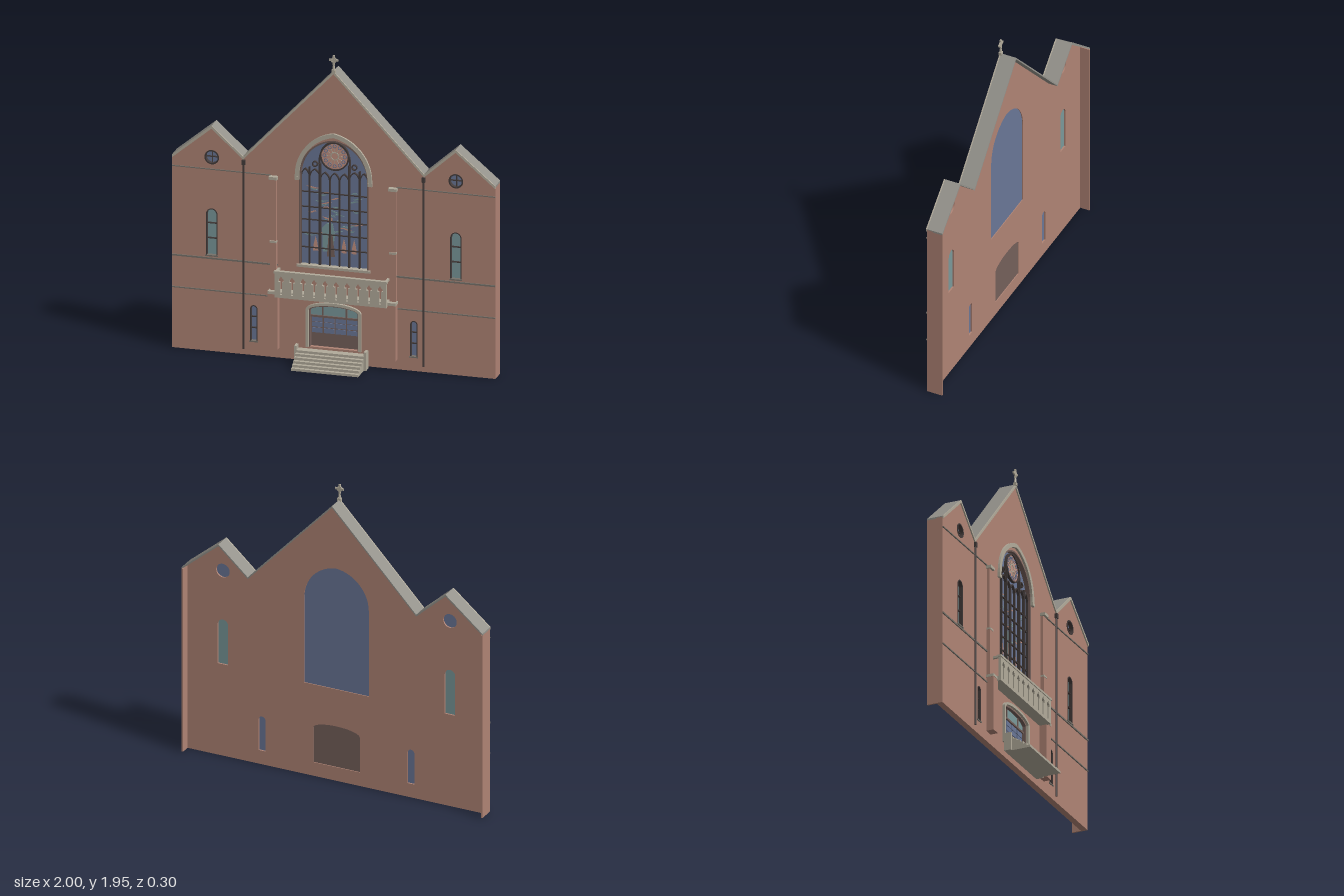
import * as THREE from 'three';

const mat = (name, color, side = THREE.FrontSide) => {
  const m = new THREE.MeshStandardMaterial({ color, side });
  m.name = name;
  return m;
};
const V = (x, y) => new THREE.Vector2(x, y);

// Arch outline from bottom left, over the top, to bottom right
function archPts(cx, w, y0, ys, h, n = 14) {
  const right = [V(cx + w, y0)];
  const R = (w * w + h * h) / (2 * w);
  const end = h >= w ? Math.atan2(h, R - w) : Math.PI / 2;
  for (let i = 0; i <= n; i++) {
    const a = end * i / n;
    right.push(h >= w
      ? V(cx + w - R + R * Math.cos(a), ys + R * Math.sin(a))
      : V(cx + w * Math.cos(a), ys + h * Math.sin(a)));
  }
  const left = right.slice(0, -1).map(p => V(2 * cx - p.x, p.y));
  return [...left, ...right.reverse()];
}
const archRing = (cx, w, y0, ys, h, t) => new THREE.Shape(
  [...archPts(cx, w, y0, ys, h), ...archPts(cx, w - t, y0, ys, h - t).reverse()]);
const circle = (cx, cy, r, hole = 0) => {
  const s = new THREE.Shape().absarc(cx, cy, r, 0, Math.PI * 2);
  if (hole) s.holes.push(new THREE.Path().absarc(cx, cy, hole, 0, Math.PI * 2, true));
  return s;
};

export function createModel() {
  const M = {
    brick: mat('brick', 0xb08475),
    stone: mat('stone', 0xb2ab9b),
    roof: mat('roof slate', 0x94928b),
    frame: mat('dark metal', 0x443c3b),
    blue: mat('blue glass', 0x6a7797),
    teal: mat('teal glass', 0x7a999b),
    door: mat('door wood', 0x75605b),
    rose: mat('rose glass', 0xc29182),
    ledge: mat('ledge stone', 0x77726a),
  };
  const root = new THREE.Group();
  root.name = 'churchFacade';
  const add = (geo, m, name) => {
    const mesh = new THREE.Mesh(geo, m);
    mesh.name = name;
    root.add(mesh);
    return mesh;
  };
  const ext = (shape, z0, z1, m, name) => add(new THREE.ExtrudeGeometry(shape,
    { depth: z1 - z0, bevelEnabled: false, curveSegments: 20 }).translate(0, 0, z0), m, name);
  const box = (x0, x1, y0, y1, z0, z1, m, name) => add(new THREE.BoxGeometry(x1 - x0, y1 - y0, z1 - z0)
    .translate((x0 + x1) / 2, (y0 + y1) / 2, (z0 + z1) / 2), m, name);

  const F = -0.05, B = -0.09, BACK = -0.15;

  // Wall panel with openings
  const half = [[0, 1.845], [0.56, 1.25], [0.755, 1.425], [1, 1.22]];
  const line = [...half.slice(1).reverse().map(([x, y]) => V(-x, y)), ...half.map(([x, y]) => V(x, y))];
  const wall = new THREE.Shape([V(-1, 0), V(1, 0), ...[...line].reverse().map(p => V(p.x, p.y - 0.006))]);
  const cut = pts => wall.holes.push(new THREE.Path(pts));
  const W = [0, 0.215, 0.605, 1.17, 0.235];
  const D = [0, 0.155, 0.09, 0.32, 0.04];
  cut(archPts(...W));
  cut(archPts(...D));
  const sideWindows = [];
  for (const s of [-1, 1]) {
    sideWindows.push(
      { name: 'tallWindow', a: [s * 0.755, 0.035, 0.605, 0.865, 0.036], glass: M.teal, bars: [0.71, 0.805] },
      { name: 'lowWindow', a: [s * 0.495, 0.023, 0.09, 0.292, 0.024], glass: M.blue, bars: [0.17, 0.24] });
    wall.holes.push(new THREE.Path().absarc(s * 0.755, 1.225, 0.045, 0, Math.PI * 2));
  }
  sideWindows.forEach(w => cut(archPts(...w.a)));
  ext(wall, B, F, M.brick, 'wall');

  // Roof slabs and front coping follow the gable line
  const strip = t => new THREE.Shape([...line, ...[...line].reverse().map(p => V(p.x, p.y - t))]);
  ext(strip(0.012), BACK, F, M.roof, 'roof');
  ext(strip(0.018), F, -0.042, M.stone, 'gableCoping');
  for (const s of [-1, 1]) {
    const x0 = s > 0 ? 0.99 : -1;
    box(x0, x0 + 0.01, 0, 1.21, BACK, B, M.brick, 'endReturn');
  }

  // Small arched and round windows
  for (const { name, a, glass, bars } of sideWindows) {
    ext(new THREE.Shape(archPts(...a)), -0.08, -0.072, glass, name + 'Glass');
    ext(archRing(...a, 0.006), -0.072, -0.048, M.frame, name + 'Frame');
    for (const y of bars) box(a[0] - a[1], a[0] + a[1], y - 0.003, y + 0.003, -0.072, -0.06, M.frame, name + 'Bar');
    box(a[0] - a[1] - 0.004, a[0] + a[1] + 0.004, a[2] - 0.006, a[2] + 0.002, -0.07, -0.044, M.ledge, name + 'Sill');
  }
  for (const s of [-1, 1]) {
    const x = s * 0.755;
    ext(circle(x, 1.225, 0.045), -0.08, -0.072, M.blue, 'roundGlass');
    ext(circle(x, 1.225, 0.045, 0.037), -0.072, -0.047, M.frame, 'roundFrame');
    box(x - 0.04, x + 0.04, 1.222, 1.228, -0.072, -0.062, M.frame, 'roundBar');
    box(x - 0.002, x + 0.002, 1.185, 1.265, -0.072, -0.062, M.frame, 'roundBar');
  }

  // Great window: glass, hood, sill
  ext(new THREE.Shape(archPts(...W)), -0.085, -0.077, M.blue, 'greatGlass');
  ext(archRing(...W, 0.01), -0.077, -0.049, M.door, 'greatFrame');
  ext(archRing(0, 0.238, 1.15, 1.17, 0.282, 0.026), F, -0.036, M.stone, 'hoodMould');
  for (const s of [-1, 1]) box(s * 0.226 - 0.014, s * 0.226 + 0.014, 1.14, 1.16, F, -0.034, M.stone, 'hoodStop');
  box(-0.228, 0.228, 0.592, 0.607, -0.075, -0.035, M.stone, 'greatSill');

  // Mullions, lancet heads and crossbars
  const edges = [-0.208, -0.155, -0.09, -0.03, 0.03, 0.09, 0.155, 0.208];
  for (let i = 0; i < 7; i++) {
    const c = (edges[i] + edges[i + 1]) / 2, w = (edges[i + 1] - edges[i]) / 2;
    const inner = i > 1 && i < 5;
    const spring = inner ? 1.14 : 1.155;
    ext(archRing(c, w + 0.003, 0.605, spring, 0.055, 0.007), -0.077, -0.062, M.frame, 'lancet');
    for (const y of [0.71, 0.8, 0.885, 0.965, 1.06])
      box(c - w, c + w, y - 0.003, y + 0.003, -0.077, -0.067, M.frame, 'crossbar');
  }
  for (const s of [-1, 1]) {
    box(s * 0.09 - 0.006, s * 0.09 + 0.006, 0.605, 1.25, -0.077, -0.058, M.frame, 'mainMullion');
    box(s * 0.155 - 0.004, s * 0.155 + 0.004, 0.605, 1.22, -0.077, -0.06, M.frame, 'mullion');
    ext(circle(s * 0.122, 1.24, 0.018, 0.012), -0.077, -0.062, M.frame, 'traceryRing');
  }
  ext(archRing(0, 0.098, 1.2, 1.27, 0.122, 0.008), -0.077, -0.062, M.frame, 'centreArch');

  // Rose with ring of petals
  ext(circle(0, 1.3, 0.085), -0.077, -0.07, M.rose, 'roseDisc');
  ext(circle(0, 1.3, 0.09, 0.082), -0.077, -0.06, M.frame, 'roseRing');
  ext(circle(0, 1.3, 0.026, 0.02), -0.07, -0.067, M.stone, 'roseHub');
  for (let i = 0; i < 12; i++) {
    const a = i * Math.PI / 6;
    ext(circle(0.063 * Math.cos(a), 1.3 + 0.063 * Math.sin(a), 0.012, 0.008), -0.07, -0.067, M.blue, 'rosePetal');
    add(new THREE.BoxGeometry(0.028, 0.003, 0.003).rotateZ(a)
      .translate(0.038 * Math.cos(a), 1.3 + 0.038 * Math.sin(a), -0.0685), M.stone, 'roseSpoke');
  }

  // Coloured streaks in the stained glass
  let seed = 7;
  const rnd = () => (seed = (seed * 16807) % 2147483647) / 2147483647;
  for (let i = 0; i < 30; i++) {
    const x = -0.16 + rnd() * 0.32, y = 0.79 + (i / 30) * 0.31, l = 0.02 + rnd() * 0.025, k = rnd() * 6;
    const top = [], bottom = [];
    for (let j = 0; j <= 6; j++) {
      const u = j / 6, yy = y + 0.005 * Math.sin(k + u * 5), t = 0.004 * Math.sin(Math.PI * u) + 0.0005;
      top.push(V(x - l + 2 * l * u, yy + t));
      bottom.unshift(V(x - l + 2 * l * u, yy - t));
    }
    ext(new THREE.Shape([...top, ...bottom]), -0.077, -0.0755, [M.teal, M.teal, M.rose][i % 3], 'glassStreak');
  }
  // Glass figure and flames
  ext(new THREE.Shape([V(-0.075, 0.69), V(-0.015, 0.69), V(0, 0.8), V(-0.015, 0.87), V(-0.05, 0.87), V(-0.08, 0.84)]),
    -0.077, -0.075, M.teal, 'figureRobe');
  ext(circle(-0.03, 0.895, 0.014), -0.077, -0.075, M.rose, 'figureHead');
  ext(new THREE.Shape([V(-0.05, 0.66), V(0, 0.66), V(-0.015, 0.8), V(-0.04, 0.8)]), -0.075, -0.074, M.door, 'figureCloak');
  for (const x of [-0.12, 0.055, 0.118])
    ext(new THREE.Shape([V(x - 0.016, 0.69), V(x + 0.016, 0.69), V(x + 0.012, 0.73), V(x, 0.78), V(x - 0.012, 0.73)]),
      -0.077, -0.075, M.rose, 'glassFlame');

  // Entrance: door leaf, lights and surround
  ext(new THREE.Shape(archPts(...D)), -0.085, -0.075, M.door, 'door');
  ext(new THREE.Shape(archPts(0, 0.147, 0.283, 0.315, 0.037)), -0.075, -0.071, M.teal, 'transomLight');
  for (const x of [-0.073, 0.073]) box(x - 0.004, x + 0.004, 0.28, 0.35, -0.075, -0.065, M.door, 'transomBar');
  box(-0.15, 0.15, 0.275, 0.287, -0.075, -0.062, M.door, 'transom');
  for (let i = 0; i < 4; i++) {
    const x = -0.108 + i * 0.072;
    for (const y of [0.175, 0.211, 0.245])
      box(x - 0.032, x + 0.032, y, y + 0.03, -0.075, -0.071, M.blue, 'doorPane');
  }
  ext(archRing(0, 0.172, 0.09, 0.325, 0.055, 0.018), F, -0.034, M.stone, 'doorSurround');
  ext(archRing(...D, 0.008), -0.075, -0.05, M.door, 'doorFrame');

  // Entrance steps and cheek posts
  for (let i = 0; i < 6; i++)
    box(-0.208, 0.208, i * 0.015, (i + 1) * 0.015, -0.015, 0.15 - i * 0.023, M.stone, 'step');
  for (const s of [-1, 1]) {
    box(s * 0.215 - 0.008, s * 0.215 + 0.008, 0, 0.115, -0.015, 0.03, M.stone, 'cheekPost');
  }

  // Balcony with pierced front
  const front = new THREE.Shape([V(-0.345, 0.405), V(0.345, 0.405), V(0.345, 0.57), V(-0.345, 0.57)]);
  for (let i = 0; i < 10; i++) {
    const x = (i - 4.5) * 0.068;
    front.holes.push(new THREE.Path([V(x - 0.007, 0.425), V(x + 0.007, 0.425), V(x + 0.007, 0.505), V(x + 0.018, 0.507),
      V(x + 0.016, 0.522), V(x + 0.008, 0.528), V(x, 0.542), V(x - 0.008, 0.528), V(x - 0.016, 0.522),
      V(x - 0.018, 0.507), V(x - 0.007, 0.505)]));
  }
  ext(front, 0.006, 0.022, M.stone, 'balconyFront');
  box(-0.35, 0.35, 0.558, 0.572, 0.002, 0.027, M.stone, 'balconyRail');
  box(-0.345, 0.345, 0.405, 0.435, F, 0.006, M.stone, 'balconyFloor');
  for (const s of [-1, 1]) {
    box(s * 0.338 - 0.007, s * 0.338 + 0.007, 0.556, 0.57, F, 0.006, M.stone, 'sideRail');

    // Buttresses in stages
    const c = s * 0.37;
    box(s * 0.365 - 0.03, s * 0.365 + 0.03, 0.065, 0.415, F, -0.002, M.brick, 'lowerButtress');
    box(c - 0.027, c + 0.027, 0.415, 0.432, F, 0, M.stone, 'buttressLedge');
    box(c - 0.02, c + 0.02, 0.432, 0.735, F, -0.028, M.brick, 'middleButtress');
    box(c - 0.021, c + 0.021, 0.73, 0.742, F, -0.025, M.stone, 'buttressBand');
    box(c - 0.018, c + 0.018, 0.742, 1.13, F, -0.033, M.brick, 'upperButtress');
    box(c - 0.026, c + 0.026, 1.13, 1.148, F, -0.018, M.stone, 'buttressCap');

    // String courses
    for (const [y, t, inner] of [[1.15, 0.006, 0.39], [0.587, 0.01, 0.345], [0.385, 0.007, 0.39]]) {
      const x0 = s > 0 ? inner : -1, x1 = s > 0 ? 1 : -inner;
      box(x0, x1, y - t / 2, y + t / 2, F, -0.043, M.ledge, 'stringCourse');
    }

    // Downpipes
    add(new THREE.CylinderGeometry(0.006, 0.006, 1.19, 10).translate(s * 0.556, 0.63, -0.044), M.frame, 'downpipe');
    box(s * 0.556 - 0.01, s * 0.556 + 0.01, 1.2, 1.23, F, -0.035, M.frame, 'rainHopper');
  }

  // Gable cross
  const Z = -0.048;
  box(-0.012, 0.012, 1.835, 1.855, Z - 0.01, Z + 0.01, M.stone, 'crossBase');
  add(new THREE.CylinderGeometry(0.005, 0.009, 0.04, 8).translate(0, 1.872, Z), M.stone, 'crossStem');
  box(-0.006, 0.006, 1.885, 1.945, Z - 0.005, Z + 0.005, M.stone, 'crossUpright');
  box(-0.028, 0.028, 1.909, 1.921, Z - 0.005, Z + 0.005, M.stone, 'crossArms');
  ext(circle(0, 1.915, 0.018, 0.011), Z - 0.004, Z + 0.004, M.stone, 'crossRing');
  return root;
}
